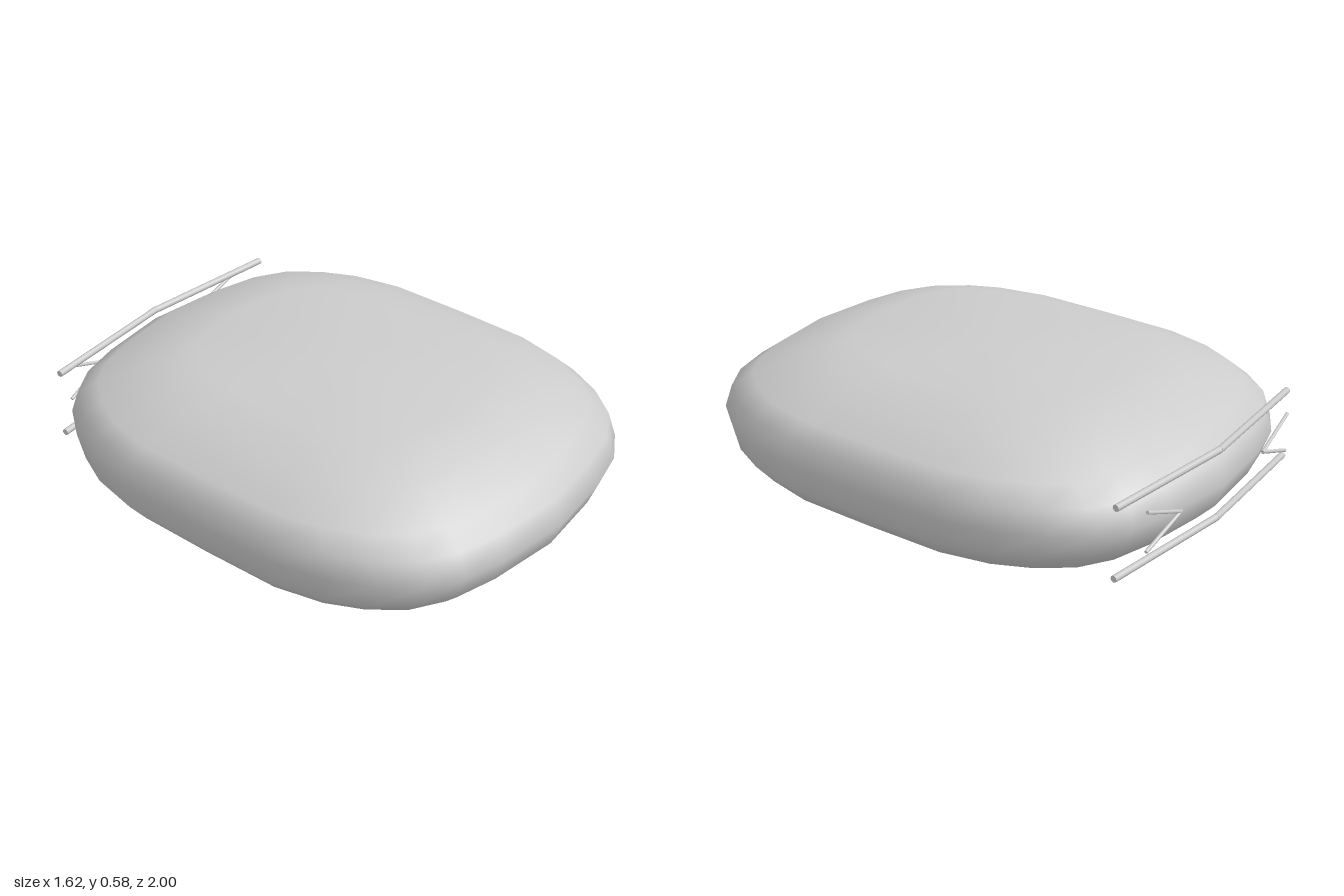
import * as THREE from 'three';

const material = new THREE.MeshStandardMaterial({ color: 0xcccccc });

// One quarter of the body's widest outline, as [x, z]
const QUARTER = [[0, 1], [0.29, 0.965], [0.46, 0.92], [0.59, 0.84], [0.69, 0.71], [0.76, 0.56], [0.805, 0.35], [0.81, 0]];

// Body levels from bottom to top: [y, half width, half length]
const LEVELS = [
  [0, 0.45, 0.56], [0.065, 0.6, 0.74], [0.13, 0.745, 0.89], [0.2, 0.8, 0.96], [0.3, 0.81, 1],
  [0.39, 0.797, 0.965], [0.45, 0.74, 0.88], [0.515, 0.6, 0.73], [0.58, 0.425, 0.53],
];

function fullOutline() {
  const q = QUARTER;
  const back = q.slice(0, -1).reverse().map(([x, z]) => [x, -z]);
  const half = [...q, ...back];
  const other = half.slice(1, -1).reverse().map(([x, z]) => [-x, z]);
  return [...half, ...other];
}

// Cushion-shaped body: scaled outlines joined in loops, closed by flat caps
function bodyGeometry() {
  const outline = fullOutline();
  const n = outline.length;
  const positions = [];
  const index = [];
  for (const [y, w, l] of LEVELS) {
    for (const [x, z] of outline) positions.push(x * w / 0.81, y, z * l);
  }
  const bottom = LEVELS.length * n;
  const top = bottom + 1;
  positions.push(0, 0, 0, 0, 0.58, 0);
  const last = (LEVELS.length - 1) * n;
  for (let i = 0; i < n; i++) {
    const j = (i + 1) % n;
    for (let k = 0; k < LEVELS.length - 1; k++) {
      const a = k * n + i, b = k * n + j;
      index.push(a, b, b + n, a, b + n, a + n);
    }
    index.push(bottom, j, i, top, last + i, last + j);
  }
  const geometry = new THREE.BufferGeometry();
  geometry.setAttribute('position', new THREE.Float32BufferAttribute(positions, 3));
  geometry.setIndex(index);
  geometry.computeVertexNormals();
  return geometry;
}

// A bent rod made of straight round pieces through the given points
function bentRod(name, points, radius) {
  const group = new THREE.Group();
  group.name = name;
  const p = points.map((v) => new THREE.Vector3(...v));
  for (let i = 0; i < p.length - 1; i++) {
    const dir = p[i + 1].clone().sub(p[i]);
    const rod = new THREE.Mesh(new THREE.CylinderGeometry(radius, radius, dir.length(), 8), material);
    rod.name = name + 'Piece';
    rod.position.copy(p[i]).add(p[i + 1]).multiplyScalar(0.5);
    rod.quaternion.setFromUnitVectors(new THREE.Vector3(0, 1, 0), dir.normalize());
    group.add(rod);
  }
  return group;
}

export function createModel() {
  const model = new THREE.Group();
  model.name = 'cushion';

  const body = new THREE.Mesh(bodyGeometry(), material);
  body.name = 'body';
  model.add(body);

  // Two rails across the back
  for (const [name, y] of [['upperRail', 0.425], ['lowerRail', 0.157]]) {
    model.add(bentRod(name, [[-0.57, y, -0.915], [0, y, -0.968], [0.57, y, -0.915]], 0.013));
  }

  // V-shaped thin braces between the rails, opening outwards
  for (const [name, s] of [['leftBrace', 1], ['rightBrace', -1]]) {
    model.add(bentRod(name, [[s * 0.47, 0.385, -0.975], [s * 0.276, 0.31, -0.988], [s * 0.47, 0.235, -0.975]], 0.007));
  }
  return model;
}
